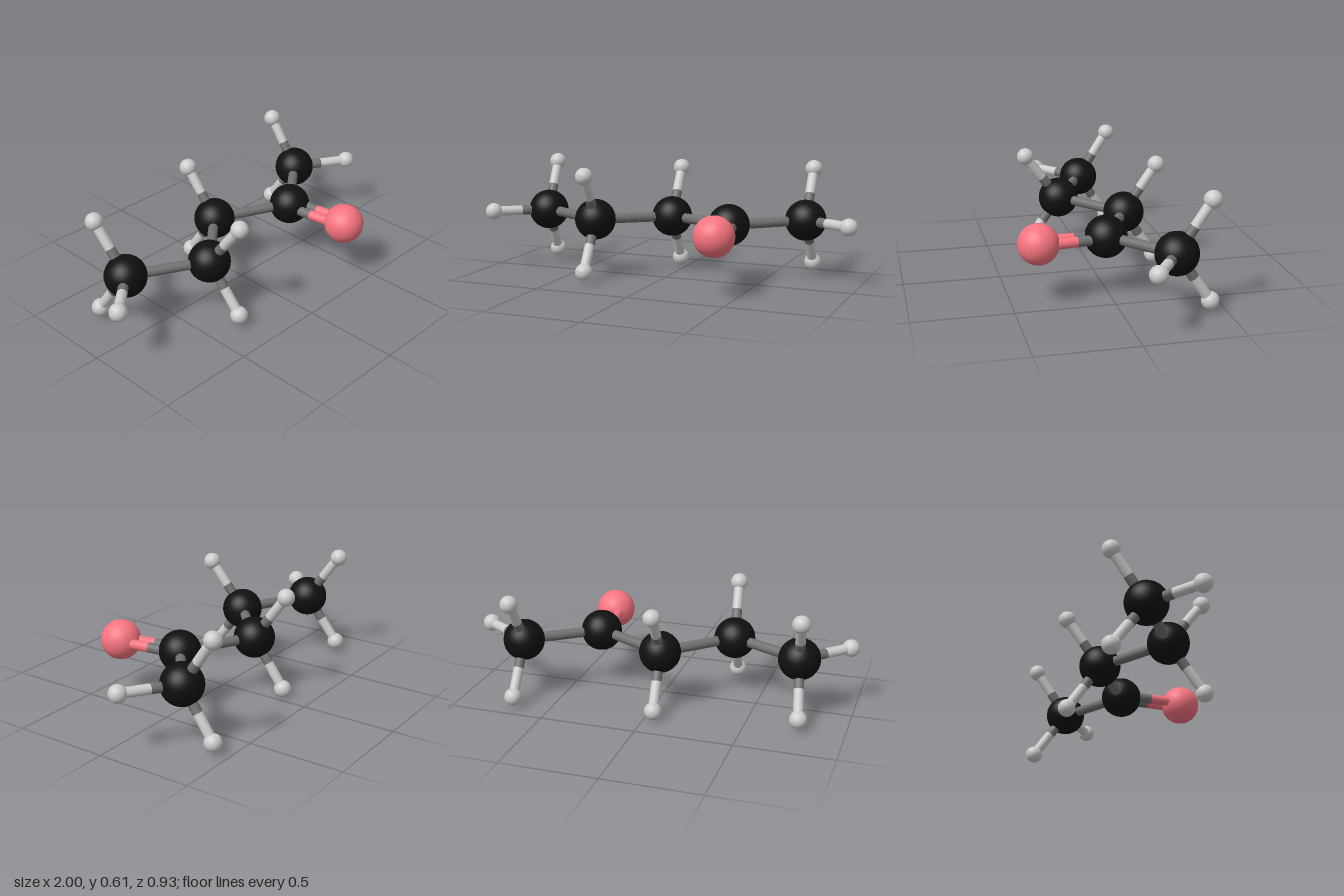
import * as THREE from 'three';

const paint = (color) => new THREE.MeshStandardMaterial({ color });

// Kinds of atom: ball radius, ball colour, bond colour
const KINDS = {
  carbon: { radius: 0.107, ball: paint(0x101010), stick: paint(0x707070) },
  hydrogen: { radius: 0.045, ball: paint(0xcccccc), stick: paint(0xcccccc) },
  oxygen: { radius: 0.103, ball: paint(0xf87480), stick: paint(0xf87480) },
};
const BOND_RADIUS = 0.026;
const DOUBLE_OFFSET = 0.032;

// Carbon chain, from the model's right to its left
const CARBONS = [
  [-0.73, 0.313, -0.077],
  [-0.35, 0.309, 0.117],
  [-0.03, 0.302, -0.172],
  [0.357, 0.308, 0.017],
  [0.69, 0.313, -0.246],
];
const OXYGEN = [0.4, 0.308, 0.363];

// Hydrogens: index of the carbon they hang on, then position
const HYDROGENS = [
  [0, -0.762, 0.562, -0.252], [0, -0.767, 0.062, -0.249], [0, -0.956, 0.317, 0.134],
  [1, -0.323, 0.557, 0.301], [1, -0.329, 0.062, 0.303],
  [2, -0.045, 0.548, -0.351], [2, -0.045, 0.047, -0.341],
  [4, 0.684, 0.565, -0.418], [4, 0.688, 0.06, -0.419], [4, 0.955, 0.318, -0.08],
];

function atom(kind, position) {
  const { radius, ball } = KINDS[kind];
  const mesh = new THREE.Mesh(new THREE.SphereGeometry(radius, 40, 28), ball);
  mesh.name = kind + 'Atom';
  mesh.position.copy(position);
  return mesh;
}

function stick(name, from, to, material) {
  const dir = to.clone().sub(from);
  const geometry = new THREE.CylinderGeometry(BOND_RADIUS, BOND_RADIUS, dir.length(), 24);
  const mesh = new THREE.Mesh(geometry, material);
  mesh.name = name;
  mesh.position.copy(from).add(to).multiplyScalar(0.5);
  mesh.quaternion.setFromUnitVectors(new THREE.Vector3(0, 1, 0), dir.normalize());
  return mesh;
}

// A bond is two half sticks, each in the colour of its own atom
function bond(name, a, kindA, b, kindB, split = 0.5, shift = new THREE.Vector3()) {
  const group = new THREE.Group();
  group.name = name;
  const start = a.clone().add(shift);
  const end = b.clone().add(shift);
  const middle = start.clone().lerp(end, split);
  group.add(stick(kindA + 'Half', start, middle, KINDS[kindA].stick));
  group.add(stick(kindB + 'Half', middle, end, KINDS[kindB].stick));
  return group;
}

export function createModel() {
  const model = new THREE.Group();
  model.name = 'ballAndStickMolecule';
  const carbons = CARBONS.map((p) => new THREE.Vector3(...p));

  // Backbone
  carbons.forEach((c, i) => {
    model.add(atom('carbon', c));
    if (i > 0) model.add(bond('chainBond', carbons[i - 1], 'carbon', c, 'carbon'));
  });

  // Hydrogens
  for (const [index, ...p] of HYDROGENS) {
    const h = new THREE.Vector3(...p);
    model.add(atom('hydrogen', h));
    model.add(bond('hydrogenBond', carbons[index], 'carbon', h, 'hydrogen'));
  }

  // Oxygen with its double bond, the two sticks side by side in the chain's plane
  const oxygen = new THREE.Vector3(...OXYGEN);
  model.add(atom('oxygen', oxygen));
  const side = oxygen.clone().sub(carbons[3]).cross(new THREE.Vector3(0, 1, 0)).normalize();
  for (const s of [-1, 1]) {
    const shift = side.clone().multiplyScalar(s * DOUBLE_OFFSET);
    model.add(bond('doubleBond', carbons[3], 'carbon', oxygen, 'oxygen', 0.46, shift));
  }
  return model;
}
